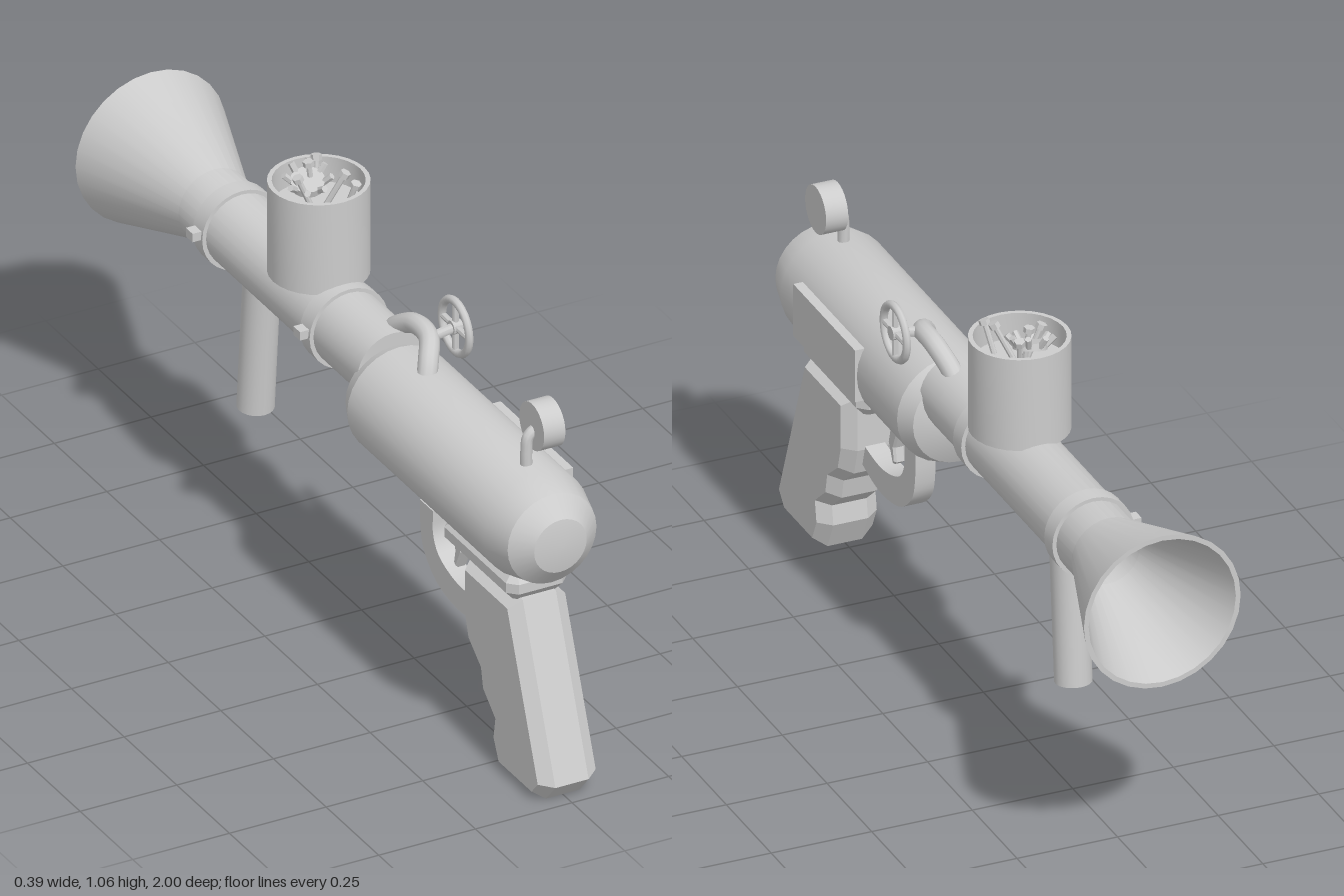
import * as THREE from 'three';
import { toCreasedNormals } from 'three/addons/utils/BufferGeometryUtils.js';

const V = (x, y, z) => new THREE.Vector3(x, y, z);

export function createModel() {
  const group = new THREE.Group();
  const metal = new THREE.MeshStandardMaterial({ color: 0xcccccc });
  metal.name = 'grey metal';

  const add = (name, geometry, x = 0, y = 0, z = 0, parent = group) => {
    const mesh = new THREE.Mesh(geometry, metal);
    mesh.name = name;
    mesh.position.set(x, y, z);
    parent.add(mesh);
    return mesh;
  };

  // Turned part around y, or around z when lying; points are [radius, position]
  const turned = (points, lying = true) => {
    const g = new THREE.LatheGeometry(points.map(p => new THREE.Vector2(...p)), 28);
    if (lying) g.rotateX(Math.PI / 2);
    return toCreasedNormals(g, 0.35);
  };

  // Round rod between two points
  const rod = (name, a, b, r, sides = 12, parent = group) => {
    const dir = b.clone().sub(a);
    const g = toCreasedNormals(new THREE.CylinderGeometry(r, r, dir.length(), sides), 0.7);
    const mesh = add(name, g, 0, 0, 0, parent);
    mesh.position.copy(a).add(b).multiplyScalar(0.5);
    mesh.quaternion.setFromUnitVectors(V(0, 1, 0), dir.normalize());
    return mesh;
  };

  // Side outline given as [z, y], extruded across x and centred
  const plate = (points, width, bevel = 0, inset = 0) => {
    const shape = new THREE.Shape(points.map(([z, y]) => new THREE.Vector2(-z, y)));
    const g = new THREE.ExtrudeGeometry(shape, {
      depth: width - 2 * bevel, bevelEnabled: bevel > 0, bevelSegments: 1,
      bevelThickness: bevel, bevelSize: inset, bevelOffset: -inset,
    });
    return g.translate(0, 0, bevel - width / 2).rotateY(Math.PI / 2);
  };

  // Tank body
  add('tankBody', turned([
    [0, 0.105], [0.06, 0.11], [0.115, 0.135], [0.135, 0.18],
    [0.135, 0.83], [0.115, 0.905], [0.068, 0.945], [0, 0.957],
  ]), 0, 0.645, 0);

  // Barrel and hollow flared muzzle
  add('barrelAndMuzzle', turned([
    [0, -0.55], [0.078, -0.55], [0.078, -0.7], [0.183, -1], [0.195, -1],
    [0.092, -0.7], [0.092, 0.15], [0, 0.15],
  ]), 0, 0.709, 0);

  // Clamp rings with side lugs
  for (const z of [-0.082, -0.592]) {
    add('clampRing', turned([
      [0.085, -0.023], [0.102, -0.023], [0.102, 0.023], [0.085, 0.023],
    ]), 0, 0.708, z);
    add('clampLug', new THREE.BoxGeometry(0.03, 0.022, 0.032), -0.108, 0.717, z);
  }

  // Open canister
  const cz = -0.203;
  add('canister', turned([
    [0, 0.79], [0.118, 0.79], [0.118, 1.025], [0.107, 1.025], [0.107, 0.96], [0, 0.96],
  ], false), 0, 0, cz);

  // Scrap in the canister: a tilted cog and loose bolts
  const cog = new THREE.Group();
  cog.name = 'scrapCog';
  cog.position.set(-0.015, 1.01, cz - 0.025);
  cog.rotation.set(0.25, 0.3, 0.15);
  group.add(cog);
  add('cogDisc', new THREE.CylinderGeometry(0.04, 0.04, 0.018, 16), 0, 0, 0, cog);
  for (let i = 0; i < 8; i++) {
    const a = i * Math.PI / 4;
    const c = Math.cos(a), s = Math.sin(a);
    rod('cogTooth', V(c * 0.035, 0, s * 0.035), V(c * 0.055, 0.022, s * 0.055), 0.008, 6, cog);
  }
  const bolts = [
    [V(0.01, 0.96, -0.19), V(0.05, 1.05, -0.165)],
    [V(-0.02, 0.96, -0.2), V(-0.055, 1.045, -0.205)],
    [V(0, 0.97, -0.23), V(-0.01, 1.06, -0.235)],
    [V(0.02, 0.96, -0.25), V(0.03, 1.05, -0.27)],
    [V(0.04, 0.96, -0.15), V(0.055, 1.04, -0.125)],
  ];
  for (const [a, b] of bolts) {
    rod('scrapBolt', a, b, 0.007, 8);
    rod('scrapBoltHead', b.clone().lerp(a, 0.14), b, 0.013, 6);
  }

  // Front handle
  rod('frontHandle', V(0, 0.66, -0.471), V(0, 0.282, -0.503), 0.044, 20);

  // Side panel
  add('sidePanel', new THREE.BoxGeometry(0.025, 0.134, 0.345), 0.127, 0.646, 0.577);

  // Bevelled rail between tank and grip
  const rx = 0.078, rz = 0.168, k = 0.022;
  const railShape = new THREE.Shape([
    [-rx, -rz + k], [-rx + k, -rz], [rx - k, -rz], [rx, -rz + k],
    [rx, rz - k], [rx - k, rz], [-rx + k, rz], [-rx, rz - k],
  ].map(p => new THREE.Vector2(...p)));
  const rail = new THREE.ExtrudeGeometry(railShape, {
    depth: 0.025, bevelSegments: 1, bevelThickness: 0.025, bevelSize: k, bevelOffset: -k,
  });
  add('gripRail', rail.rotateX(-Math.PI / 2), 0, 0.485, 0.683);

  // Grip with finger grooves
  add('grip', plate([
    [0.845, 0.465], [1, 0.05], [0.955, 0], [0.775, 0], [0.742, 0.07], [0.75, 0.118],
    [0.695, 0.165], [0.685, 0.215], [0.627, 0.262], [0.607, 0.33], [0.607, 0.465],
  ], 0.15, 0.032, 0.022));

  // Trigger guard
  const outer = new THREE.CatmullRomCurve3([
    V(0, 0.285, 0.62), V(0, 0.266, 0.55), V(0, 0.264, 0.48),
    V(0, 0.285, 0.4), V(0, 0.34, 0.34), V(0, 0.4, 0.325), V(0, 0.46, 0.323),
  ]).getPoints(18);
  const inner = new THREE.CatmullRomCurve3([
    V(0, 0.46, 0.386), V(0, 0.4, 0.386), V(0, 0.36, 0.41),
    V(0, 0.335, 0.47), V(0, 0.328, 0.53), V(0, 0.34, 0.62),
  ]).getPoints(18);
  add('triggerGuard', toCreasedNormals(
    plate([...outer, ...inner].map(p => [p.z, p.y]), 0.05), 0.5));

  // Trigger
  add('trigger', plate([
    [0.485, 0.455], [0.5, 0.405], [0.49, 0.385], [0.475, 0.355],
    [0.463, 0.365], [0.47, 0.4], [0.445, 0.46],
  ], 0.03, 0.006, 0.004));

  // Pressure gauge on a bent stem
  rod('gaugeDial', V(0.014, 0.873, 0.783), V(0.069, 0.873, 0.783), 0.059, 28);
  const stem = new THREE.CatmullRomCurve3([
    V(0, 0.76, 0.783), V(0, 0.815, 0.783), V(0.005, 0.85, 0.783), V(0.03, 0.868, 0.783),
  ]);
  add('gaugeStem', new THREE.TubeGeometry(stem, 12, 0.014, 10));

  // Bent pipe from tank to barrel
  const pipe = new THREE.CatmullRomCurve3([
    V(-0.005, 0.745, 0.315), V(0.015, 0.795, 0.29), V(0.043, 0.825, 0.24),
    V(0.045, 0.825, 0.17), V(0.032, 0.785, 0.1), V(0.028, 0.755, 0.075),
  ]);
  add('bentPipe', new THREE.TubeGeometry(pipe, 24, 0.024, 12));

  // Valve wheel
  const wheel = new THREE.Group();
  wheel.name = 'valveWheel';
  wheel.position.set(0.111, 0.835, 0.243);
  group.add(wheel);
  add('wheelRim', new THREE.TorusGeometry(0.065, 0.01, 8, 28).rotateY(Math.PI / 2), 0, 0, 0, wheel);
  rod('wheelSpoke', V(0, -0.064, 0), V(0, 0.064, 0), 0.008, 8, wheel);
  rod('wheelSpoke', V(0, 0, -0.064), V(0, 0, 0.064), 0.008, 8, wheel);
  rod('wheelHub', V(-0.012, 0, 0), V(0.012, 0, 0), 0.017, 12, wheel);
  rod('wheelAxle', V(-0.07, -0.012, 0), V(0, 0, 0), 0.012, 10, wheel);

  return group;
}
